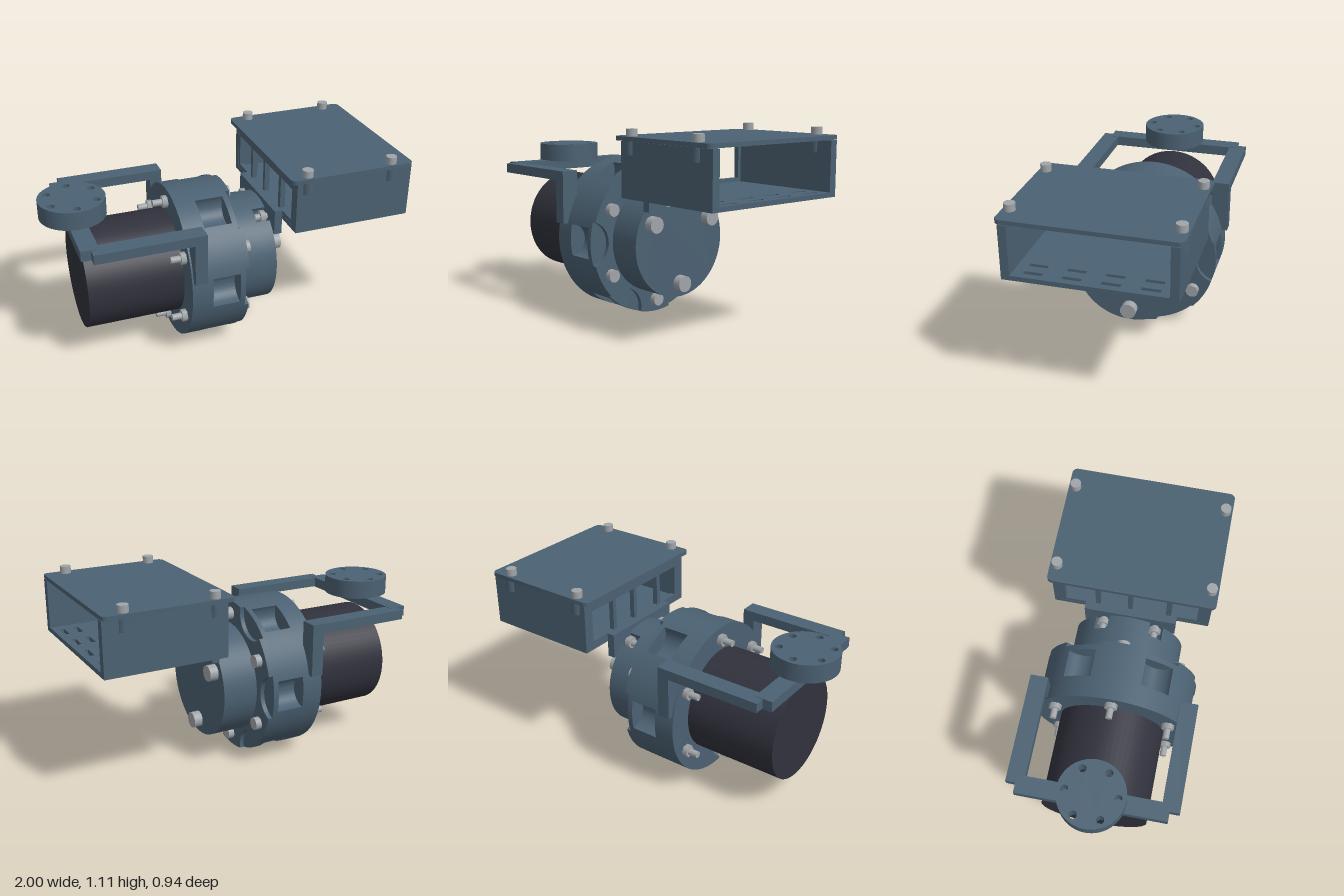
import * as THREE from 'three';
import { toCreasedNormals } from 'three/addons/utils/BufferGeometryUtils.js';

const mat = (name, color) => new THREE.MeshStandardMaterial({ name, color });

export function createModel() {
  const blue = mat('slateBlue', 0x4b6172);
  const dark = mat('motorCharcoal', 0x30313c);
  const steel = mat('steelGrey', 0xa0a5a9);
  const model = new THREE.Group();
  const CY = 0.45; // height of the motor axis

  const add = (name, geo, material, parent = model) => {
    const mesh = new THREE.Mesh(geo, material);
    mesh.name = name;
    parent.add(mesh);
    return mesh;
  };
  const group = (name) => {
    const g = new THREE.Group();
    g.name = name;
    model.add(g);
    return g;
  };
  // box given by its limits on each axis
  const box = (name, x0, x1, y0, y1, z0, z1, parent) =>
    add(name, new THREE.BoxGeometry(x1 - x0, y1 - y0, z1 - z0), blue, parent)
      .position.set((x0 + x1) / 2, (y0 + y1) / 2, (z0 + z1) / 2);
  // cylinder lying along x
  const rod = (name, r, x0, x1, y, z, material, parent, sides = 24) =>
    add(name, new THREE.CylinderGeometry(r, r, x1 - x0, sides).rotateZ(-Math.PI / 2), material, parent)
      .position.set((x0 + x1) / 2, y, z);
  const extrude = (shape, depth) => toCreasedNormals(
    new THREE.ExtrudeGeometry(shape, { depth, bevelEnabled: false, curveSegments: 48 }), 0.5);
  // shape extruded along x around the motor axis
  const slice = (name, shape, x0, x1, parent) =>
    add(name, extrude(shape, x1 - x0).rotateY(Math.PI / 2), blue, parent).position.set(x0, CY, 0);
  // flat plate: shape y becomes -z, thickness runs up
  const plate = (name, shape, y0, y1, parent) =>
    add(name, extrude(shape, y1 - y0).rotateX(-Math.PI / 2), blue, parent).position.y = y0;

  // disc outline with circular bites of radius rn centred at distance d
  const bitten = (R, d, rn, angles) => {
    const s = new THREE.Shape();
    const b = Math.acos((R * R + d * d - rn * rn) / (2 * R * d));
    const psi = Math.atan2(R * Math.sin(b), d - R * Math.cos(b));
    angles.forEach((a, i) => {
      const next = i + 1 < angles.length ? angles[i + 1] : angles[0] + 2 * Math.PI;
      s.absarc(0, 0, R, a + b, next - b, false);
      s.absarc(d * Math.cos(next), d * Math.sin(next), rn, next + Math.PI + psi, next + Math.PI - psi, true);
    });
    return s;
  };
  const rect = (C, x0, x1, y0, y1) => {
    const p = new C();
    p.moveTo(x0, y0).lineTo(x1, y0).lineTo(x1, y1).lineTo(x0, y1).closePath();
    return p;
  };
  const sixths = [0, 1, 2, 3, 4, 5].map((k) => (k * Math.PI) / 3);

  // motor can
  rod('motorCan', 0.303, -0.82, -0.27, 0.453, 0, dark, model, 64);

  // gear housing with rim pockets and scalloped front face
  const housing = group('gearHousing');
  rod('rearRing', 0.448, -0.28, -0.16, CY, 0, blue, housing, 96);
  slice('pocketRing', bitten(0.448, 0.44, 0.09, sixths), -0.16, 0, housing);
  rod('frontRing', 0.448, 0, 0.03, CY, 0, blue, housing, 96);
  slice('scallopedFace', bitten(0.448, 0.47, 0.13, sixths), 0.03, 0.055, housing);

  // output drum with two nut pockets
  const drum = group('outputDrum');
  rod('drumHub', 0.25, 0.05, 0.07, CY, 0, blue, drum, 48);
  rod('drumBody', 0.32, 0.066, 0.19, CY, 0, blue, drum, 96);
  slice('drumFront', bitten(0.32, 0.31, 0.045, [Math.PI / 3, (2 * Math.PI) / 3]), 0.19, 0.27, drum);

  // through bolts around the housing
  const bolts = group('bolts');
  for (const a of sixths) {
    const y = CY + 0.375 * Math.sin(a + Math.PI / 6);
    const z = 0.375 * Math.cos(a + Math.PI / 6);
    rod('housingBoltHead', 0.036, 0.05, 0.09, y, z, steel, bolts);
    rod('housingNut', 0.036, -0.31, -0.28, y, z, steel, bolts, 6);
    rod('housingBoltShank', 0.019, -0.365, -0.3, y, z, steel, bolts);
  }
  // drum bolts
  for (const a of [Math.PI / 6, (5 * Math.PI) / 6, -Math.PI / 2])
    rod('drumBolt', 0.046, 0.265, 0.32, CY + 0.24 * Math.sin(a), 0.24 * Math.cos(a), steel, bolts);
  // bracket bolts and nuts
  for (const z of [-0.15, 0.15]) {
    rod('bracketBoltHead', 0.037, 0.31, 0.35, 0.707, z, steel, bolts);
    rod('bracketNut', 0.037, 0.225, 0.255, 0.707, z, steel, bolts, 6);
    rod('bracketBoltShank', 0.019, 0.195, 0.32, 0.707, z, steel, bolts);
  }

  // open-ended box with windowed rear wall
  const tray = group('electronicsBox');
  box('mountingBracket', 0.27, 0.315, 0.645, 0.79, -0.265, 0.265, tray);
  const floor = rect(THREE.Shape, 0.313, 1, -0.45, 0.45);
  for (const z of [-0.3, -0.1, 0.1, 0.3])
    for (const x of [0.87, 0.95]) floor.holes.push(rect(THREE.Path, x - 0.012, x + 0.012, z - 0.05, z + 0.05));
  plate('boxFloor', floor, 0.742, 0.768, tray);
  for (const s of [-1, 1])
    box('sideWall', 0.313, 1, 0.765, 1.042, Math.min(s * 0.405, s * 0.45), Math.max(s * 0.405, s * 0.45), tray);
  const wall = rect(THREE.Shape, -0.41, 0.41, 0.765 - CY, 1.04 - CY);
  for (const [a, b] of [[-0.38, -0.23], [-0.2, -0.005], [0.02, 0.18], [0.207, 0.385]])
    wall.holes.push(rect(THREE.Path, a, b, 0.79 - CY, 0.977 - CY));
  slice('windowedWall', wall, 0.315, 0.345, tray);

  // lid with rounded corners
  const lid = new THREE.Shape();
  const c = 0.03;
  lid.absarc(1 - c, 0.47 - c, c, 0, Math.PI / 2);
  lid.absarc(0.275 + c, 0.47 - c, c, Math.PI / 2, Math.PI);
  lid.absarc(0.275 + c, -0.47 + c, c, Math.PI, 1.5 * Math.PI);
  lid.absarc(1 - c, -0.47 + c, c, 1.5 * Math.PI, 2 * Math.PI);
  plate('lid', lid, 1.045, 1.068, tray);
  for (const x of [0.378, 0.88]) for (const z of [-0.43, 0.43]) {
    add('lidBoss', new THREE.CylinderGeometry(0.037, 0.037, 0.075, 24), blue, tray).position.set(x, 1.01, z);
    add('lidBolt', new THREE.CylinderGeometry(0.03, 0.03, 0.045, 24), steel, tray).position.set(x, 1.085, z);
  }

  // rear frame: legs, arms and cross bar
  const frame = group('rearFrame');
  for (const s of [-1, 1]) {
    const z0 = Math.min(s * 0.37, s * 0.47);
    box('frameArm', -0.81, -0.2, 0.785, 0.84, z0, z0 + 0.1, frame);
    box('frameLeg', -0.27, -0.2, 0.54, 0.8, z0, z0 + 0.1, frame);
  }
  box('crossBar', -0.865, -0.765, 0.783, 0.842, -0.415, 0.415, frame);

  // round mounting pad with six holes
  const pad = new THREE.Shape();
  pad.absarc(-0.815, 0, 0.185, 0, 2 * Math.PI);
  for (const a of sixths) {
    const hole = new THREE.Path();
    hole.absarc(-0.815 + 0.143 * Math.cos(a + Math.PI / 6), 0.143 * Math.sin(a + Math.PI / 6), 0.021, 0, 2 * Math.PI, true);
    pad.holes.push(hole);
  }
  plate('mountingPad', pad, 0.84, 0.945, frame);

  return model;
}
